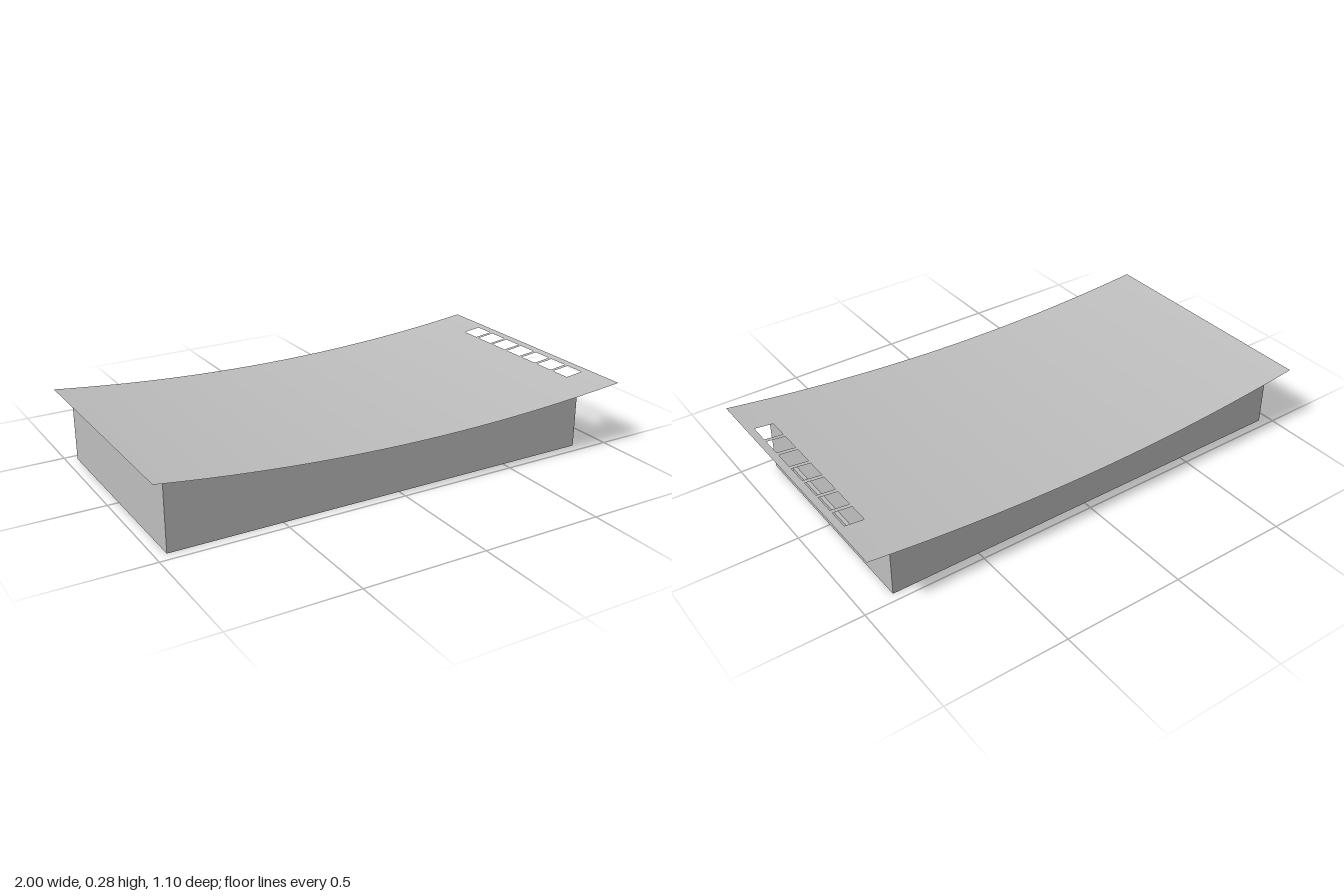
import * as THREE from 'three';

const X0 = -0.955, X1 = 0.867, Z0 = -0.465, Z1 = 0.457; // tray footprint
const FLOOR = 0.04, WALL = 0.004, THICK = 0.005;

// height of the dished top, and its slightly tapering front edge
const under = (x) => 0.217 + 0.061 * x * x;
const frontZ = (x) => 0.517 + 0.033 * x;
const backZ = (x) => -0.552 - 0.002 * x;

// seven square slots near the left end
const SLOT_X = [0.89, 0.968];
const slots = Array.from({ length: 7 }, (_, i) => {
  const z = -0.343 + i * 0.1035;
  return [z, z + 0.086];
});

// one curved sheet, built column by column and split around the slots
function sheetGeometry(offset, up) {
  const xs = Array.from({ length: 41 }, (_, i) => -1 + i * 0.05).concat(SLOT_X).sort((a, b) => a - b);
  const pos = [], nor = [], idx = [];
  const s = up ? 1 : -1;
  const vertex = (x, z) => {
    pos.push(x, under(x) + offset, z);
    const n = new THREE.Vector3(-0.122 * x, 1, 0).normalize().multiplyScalar(s);
    nor.push(n.x, n.y, n.z);
  };
  for (let i = 0; i < xs.length - 1; i++) {
    const a = xs[i], b = xs[i + 1];
    if (b - a < 1e-6) continue;
    const mid = (a + b) / 2;
    const cuts = mid > SLOT_X[0] && mid < SLOT_X[1] ? slots.flat() : [];
    const za = [backZ(a), ...cuts, frontZ(a)], zb = [backZ(b), ...cuts, frontZ(b)];
    for (let k = 0; k < za.length; k += 2) {
      const v = pos.length / 3;
      vertex(a, za[k]); vertex(a, za[k + 1]); vertex(b, zb[k + 1]); vertex(b, zb[k]);
      idx.push(...(up ? [v, v + 1, v + 2, v, v + 2, v + 3] : [v, v + 2, v + 1, v, v + 3, v + 2]));
    }
  }
  const g = new THREE.BufferGeometry();
  g.setAttribute('position', new THREE.Float32BufferAttribute(pos, 3));
  g.setAttribute('normal', new THREE.Float32BufferAttribute(nor, 3));
  g.setIndex(idx);
  return g;
}

export function createModel() {
  const model = new THREE.Group();
  model.name = 'dishedTray';
  const grey = new THREE.MeshStandardMaterial({ color: 0xc0c0c0 });
  grey.name = 'light grey';
  const add = (name, geometry) => {
    const mesh = new THREE.Mesh(geometry, grey);
    mesh.name = name;
    model.add(mesh);
    return mesh;
  };

  // thin curved top with open slots
  add('topSurface', sheetGeometry(THICK, true));
  add('topUnderside', sheetGeometry(0, false));

  // box body whose upper edge follows the curve
  const profile = new THREE.Shape();
  profile.moveTo(X0, FLOOR);
  profile.lineTo(X1, FLOOR);
  for (let i = 0; i <= 32; i++) {
    const x = X1 + (X0 - X1) * i / 32;
    profile.lineTo(x, under(x) - 0.0005);
  }
  const body = new THREE.ExtrudeGeometry(profile, { depth: Z1 - Z0, bevelEnabled: false });
  body.translate(0, 0, Z0);
  add('body', body);

  // thin rim below the recessed floor
  const rect = (Type, d) => {
    const r = new Type();
    r.moveTo(X0 + d, -Z1 + d);
    r.lineTo(X1 - d, -Z1 + d);
    r.lineTo(X1 - d, -Z0 - d);
    r.lineTo(X0 + d, -Z0 - d);
    r.closePath();
    return r;
  };
  const rimShape = rect(THREE.Shape, 0);
  rimShape.holes.push(rect(THREE.Path, WALL));
  const rim = new THREE.ExtrudeGeometry(rimShape, { depth: FLOOR, bevelEnabled: false });
  rim.rotateX(-Math.PI / 2);
  add('bottomRim', rim);

  // raised plate on the left end
  const plate = new THREE.BoxGeometry(0.018, 0.073, 0.466);
  plate.translate(0.873, 0.0865, 0.0125);
  add('endPlate', plate);

  return model;
}
